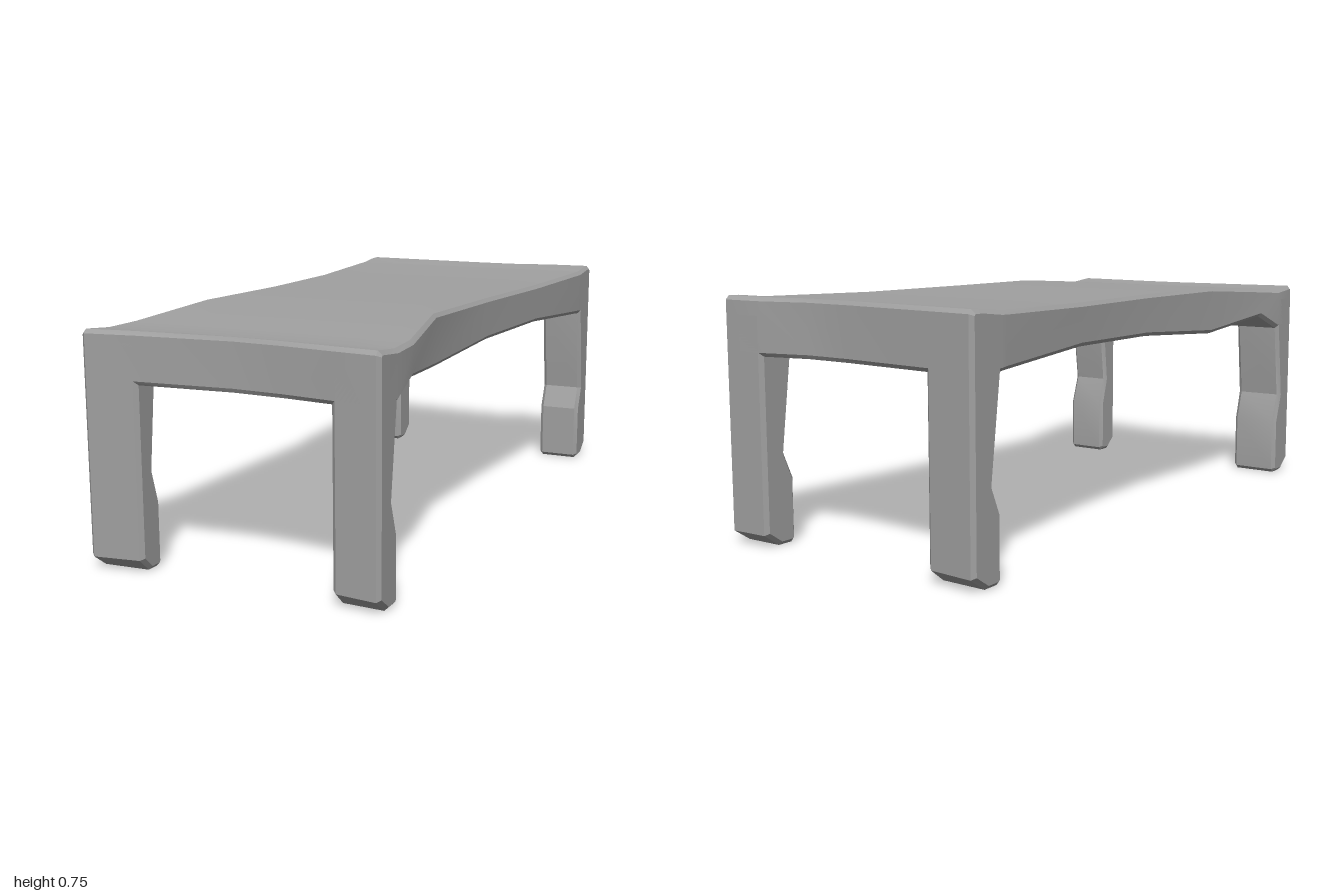
import * as THREE from 'three';
import { toCreasedNormals } from 'three/addons/utils/BufferGeometryUtils.js';

const BEVEL = 0.012;
const X_MIN = -0.47, X_MAX = 0.465;

// Piecewise-linear outlines: [position, value]
const SIDE_NEG = [[-1, -0.47], [-0.85, -0.47], [-0.42, -0.43], [0, -0.41], [0.42, -0.425], [0.78, -0.445], [0.87, -0.47], [1, -0.47]];
const SIDE_POS = [[-1, 0.465], [-0.85, 0.465], [-0.42, 0.43], [0, 0.4], [0.42, 0.385], [0.78, 0.465], [1, 0.465]];
const FRONT = [[-0.47, 1], [-0.3, 0.975], [0, 0.95], [0.16, 0.96], [0.315, 0.98], [0.465, 0.997]];
const BACK = [[-0.47, 1], [-0.3, 0.985], [0, 0.96], [0.16, 0.957], [0.315, 0.995], [0.465, 1]];

function lerpTable(table, t) {
  if (t <= table[0][0]) return table[0][1];
  for (let i = 1; i < table.length; i++) {
    const [a, va] = table[i - 1], [b, vb] = table[i];
    if (t <= b) return va + (vb - va) * (t - a) / (b - a);
  }
  return table[table.length - 1][1];
}

// Bends a straight block to the waisted sides and hollow ends
function warp(x, y, z) {
  const scale = x < 0 ? lerpTable(SIDE_NEG, z) / X_MIN : lerpTable(SIDE_POS, z) / X_MAX;
  const nearEnd = Math.min(1, Math.max(0, (Math.abs(z) - 0.9) / 0.1));
  const depth = (1 - lerpTable(z > 0 ? FRONT : BACK, x)) * nearEnd;
  return [x * scale, y, z - Math.sign(z) * depth];
}

// Offsets a closed [z, y] profile inwards with mitred corners
function inset(profile, d) {
  const n = profile.length;
  const normal = (a, b) => {
    const dr = a[0] - b[0], dy = b[1] - a[1], len = Math.hypot(dr, dy);
    return [dy / len, dr / len];
  };
  return profile.map((p, i) => {
    const u = normal(profile[(i + n - 1) % n], p);
    const v = normal(p, profile[(i + 1) % n]);
    const k = d / (1 + u[0] * v[0] + u[1] * v[1]);
    return [p[0] + (u[0] + v[0]) * k, p[1] + (u[1] + v[1]) * k];
  });
}

// Lofts a profile, given as rows of paired [z, y] points, across x columns
function loft(rows, columns) {
  const profile = [...rows.map(r => r[0]), ...rows.map(r => r[1]).reverse()];
  const small = inset(profile, BEVEL);
  const n = profile.length, last = columns.length - 1;
  const positions = [], index = [];
  const quad = (a, b, c, d) => index.push(a, b, c, a, c, d);
  columns.forEach((x, j) => {
    const ring = j === 0 || j === last ? small : profile;
    for (const [z, y] of ring) positions.push(...warp(x, y, z));
  });
  for (let j = 0; j < last; j++) {
    for (let i = 0; i < n; i++) {
      const k = (i + 1) % n;
      quad(j * n + i, j * n + k, (j + 1) * n + k, (j + 1) * n + i);
    }
  }
  // End faces
  for (let i = 0; i < rows.length - 1; i++) {
    const a = i, b = i + 1, c = n - 2 - i, d = n - 1 - i, o = last * n;
    quad(o + a, o + b, o + c, o + d);
    quad(d, c, b, a);
  }
  const g = new THREE.BufferGeometry();
  g.setAttribute('position', new THREE.Float32BufferAttribute(positions, 3));
  g.setIndex(index);
  return toCreasedNormals(g, 0.35);
}

export function createModel() {
  const group = new THREE.Group();
  group.name = 'table';
  const grey = new THREE.MeshStandardMaterial({ color: 0xa0a0a0 });
  grey.name = 'plain grey';

  const add = (name, geometry) => {
    const mesh = new THREE.Mesh(geometry, grey);
    mesh.name = name;
    group.add(mesh);
  };

  // Table top with apron: z, top height, underside height
  const slab = [
    [-1, 0.755 - BEVEL, 0.58 + BEVEL], [-1 + BEVEL, 0.755, 0.58], [-0.95, 0.754, 0.58],
    [-0.87, 0.745, 0.58], [-0.85, 0.744, 0.583], [-0.42, 0.735, 0.605], [0, 0.735, 0.6],
    [0.42, 0.735, 0.575], [0.78, 0.712, 0.61], [0.88, 0.705, 0.56],
    [1 - BEVEL, 0.715, 0.56], [1, 0.715 - BEVEL, 0.56 + BEVEL],
  ].map(([z, top, bottom]) => [[z, top], [z, bottom]]);
  add('tableTop', loft(slab, [X_MIN, X_MIN + BEVEL, -0.3, 0, 0.16, 0.315, X_MAX - BEVEL, X_MAX]));

  // Leg profiles: outer and inner point of each row, from top to foot
  const frontLeg = [
    [[1, 0.68], [0.88, 0.68]],
    [[1, 0.56], [0.88, 0.56]],
    [[1, 0.3], [0.915, 0.3]],
    [[1, 0.2], [0.88, 0.2]],
    [[1, 0.04], [0.88, BEVEL]],
    [[0.945, 0], [0.88 + BEVEL, 0]],
  ];
  const backLeg = [
    [[-0.87, 0.7], [-1, 0.7]],
    [[-0.87, 0.58], [-1, 0.58]],
    [[-0.91, 0.28], [-1, 0.28]],
    [[-0.875, 0.2], [-1, 0.2]],
    [[-0.875, BEVEL], [-1, 0.04]],
    [[-0.875 - BEVEL, 0], [-0.94, 0]],
  ];
  for (const [side, x0, x1] of [['Right', X_MIN, -0.3], ['Left', 0.315, X_MAX]]) {
    const columns = [x0, x0 + BEVEL, x1 - BEVEL, x1];
    add('front' + side + 'Leg', loft(frontLeg, columns));
    add('back' + side + 'Leg', loft(backLeg, columns));
  }
  return group;
}
